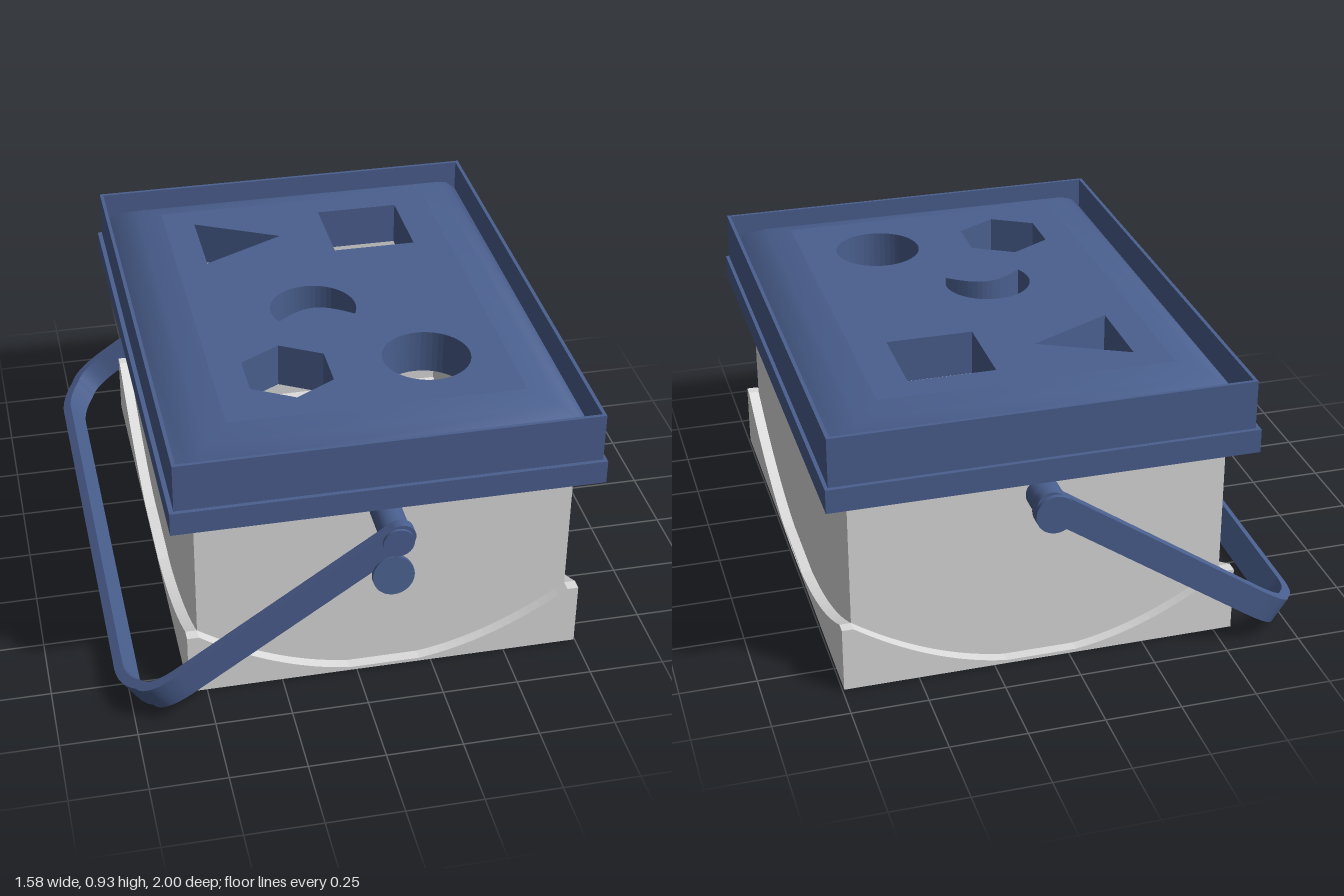
import * as THREE from 'three';

const blue = new THREE.MeshStandardMaterial({ color: 0x4a5f8e, side: THREE.DoubleSide });
blue.name = 'blue plastic';
const white = new THREE.MeshStandardMaterial({ color: 0xdcdcdc, side: THREE.DoubleSide });
white.name = 'pale plastic';

function add(parent, name, geometry, material) {
  const mesh = new THREE.Mesh(geometry, material);
  mesh.name = name;
  parent.add(mesh);
  return mesh;
}

// Closed outline from [x, z] points; shape y is -z so it can lie flat
const outline = (pts, Type = THREE.Shape) =>
  new Type(pts.map(([x, z]) => new THREE.Vector2(x, -z)));

const rect = (b, inset = 0) => [
  [b.x0 + inset, b.z1 - inset], [b.x1 - inset, b.z1 - inset],
  [b.x1 - inset, b.z0 + inset], [b.x0 + inset, b.z0 + inset]];

// Flat outline raised from y0 to y1
function slab(shape, y0, y1) {
  const g = new THREE.ExtrudeGeometry(shape, { depth: y1 - y0, bevelEnabled: false, curveSegments: 32 });
  return g.rotateX(-Math.PI / 2).translate(0, y0, 0);
}

// Rectangular wall ring
function ring(b, thickness, y0, y1) {
  const s = outline(rect(b));
  s.holes.push(outline(rect(b, thickness), THREE.Path));
  return slab(s, y0, y1);
}

const polygon = (cx, cz, r, n) => Array.from({ length: n }, (_, i) => {
  const a = (i / n) * Math.PI * 2 + Math.PI / 2;
  return [cx + r * Math.cos(a), cz + r * Math.sin(a)];
});

// Crescent: upper arc of a circle closed by a shallower arc
function crescent() {
  const pts = [];
  for (let i = 0; i <= 32; i++) {
    const a = Math.PI * 0.85 + (i / 32) * Math.PI * 1.3;
    pts.push([0.015 + 0.145 * Math.cos(a), 0.045 + 0.145 * Math.sin(a)]);
  }
  const [xr, zr] = pts[32], [xl] = pts[0];
  for (let i = 1; i < 16; i++) {
    const t = i / 16;
    pts.push([xr + (xl - xr) * t, zr - 0.065 * Math.sin(Math.PI * t)]);
  }
  return pts;
}

// Mitred slope through rectangular rings [inset, y]
function slope(b, rings) {
  const pos = [], index = [];
  rings.forEach(([inset, y]) => rect(b, inset).forEach(([x, z]) => pos.push(x, y, z)));
  for (let r = 0; r < rings.length - 1; r++) {
    for (let i = 0; i < 4; i++) {
      const a = r * 4 + i, c = r * 4 + (i + 1) % 4;
      index.push(a, c, c + 4, a, c + 4, a + 4);
    }
  }
  const g = new THREE.BufferGeometry();
  g.setAttribute('position', new THREE.Float32BufferAttribute(pos, 3));
  g.setIndex(index);
  g.computeVertexNormals();
  return g;
}

function createLid() {
  const lid = new THREE.Group();
  lid.name = 'lid';
  const wall = { x0: -0.59, x1: 0.775, z0: -0.908, z1: 0.868 };
  const rim = { x0: -0.605, x1: 0.787, z0: -0.922, z1: 0.882 };
  add(lid, 'lidWall', ring(wall, 0.012, 0.76, 0.93), blue);
  add(lid, 'lidRim', ring(rim, 0.11, 0.685, 0.765), blue);
  add(lid, 'lidSlope', slope(wall, [[0.01, 0.82], [0.06, 0.875], [0.12, 0.912], [0.2, 0.93]]), blue);

  // Raised centre with the five sorting holes
  const top = outline(rect(wall, 0.2));
  const holes = [
    [[-0.285, -0.61], [0, -0.465], [-0.285, -0.322]],
    rect({ x0: 0.17, x1: 0.455, z0: -0.61, z1: -0.323 }),
    crescent(),
    polygon(-0.147, 0.415, 0.157, 6),
    polygon(0.313, 0.415, 0.145, 48)];
  holes.forEach(h => top.holes.push(outline(h, THREE.Path)));
  add(lid, 'lidTop', slab(top, 0.78, 0.93), blue);
  return lid;
}

function createBucket() {
  const bucket = new THREE.Group();
  bucket.name = 'bucket';
  const body = { x0: -0.522, x1: 0.708, z0: -0.84, z1: 0.798 };
  const foot = { x0: -0.56, x1: 0.743, z0: -0.877, z1: 0.835 };
  add(bucket, 'bucketWalls', ring(body, 0.02, 0.012, 0.77), white);
  add(bucket, 'bucketFloor', slab(outline(rect(foot)), 0.008, 0.02), white);

  // Skirt plate, tall at the corners and dipping in an arc to the floor
  const skirt = (lo, hi, bodyLo, bodyHi) => {
    const s = new THREE.Shape();
    s.moveTo(lo, 0.008);
    s.lineTo(hi, 0.008);
    s.lineTo(hi, 0.23);
    for (let i = 0; i <= 40; i++) {
      const t = 1 - i / 20;
      s.lineTo((bodyLo + bodyHi) / 2 + t * (bodyHi - bodyLo) / 2, 0.012 + 0.218 * t * t);
    }
    s.lineTo(lo, 0.23);
    return new THREE.ExtrudeGeometry(s, { depth: 0.037, bevelEnabled: false });
  };
  const across = () => skirt(foot.x0, foot.x1, body.x0, body.x1);
  const along = () => skirt(-foot.z1, -foot.z0, -body.z1, -body.z0).rotateY(Math.PI / 2);
  add(bucket, 'frontSkirt', across().translate(0, 0, body.z1), white);
  add(bucket, 'backSkirt', across().translate(0, 0, foot.z0), white);
  add(bucket, 'leftSkirt', along().translate(body.x1, 0, 0), white);
  add(bucket, 'rightSkirt', along().translate(foot.x0, 0, 0), white);
  return bucket;
}

// Round pin along z
function pin(parent, name, x, y, r, z0, z1) {
  const g = new THREE.CylinderGeometry(r, r, z1 - z0, 32).rotateX(Math.PI / 2);
  add(parent, name, g, blue).position.set(x, y, (z0 + z1) / 2);
}

function createHandle() {
  const handle = new THREE.Group();
  handle.name = 'handle';
  const len = 1.05, front = 0.975, back = -0.985, t = 0.034;

  // U-shaped band: outer line, then the inner line back
  const s = new THREE.Shape();
  const corner = (d, r, zFrom, zTo, turn) => {
    const dir = Math.sign(zTo - zFrom);
    s.lineTo(-len + d + r, zFrom);
    s.quadraticCurveTo(-len + d + r * 0.41, zFrom, -len + d + r * 0.29, zFrom + dir * r * 0.29);
    s.quadraticCurveTo(-len + d, zFrom + dir * r * 0.59, -len + d, zFrom + dir * r);
    s.lineTo(-len + d, zTo - dir * r);
    s.quadraticCurveTo(-len + d, zTo - dir * r * 0.59, -len + d + r * 0.29, zTo - dir * r * 0.29);
    s.quadraticCurveTo(-len + d + r * 0.41, zTo, -len + d + r, zTo);
  };
  s.moveTo(0, -front);
  corner(0, 0.22, -front, -back);
  s.lineTo(0, -back);
  s.lineTo(0, -back - t);
  corner(t, 0.22 - t, -back - t, -front + t);
  s.lineTo(0, -front + t);

  const band = new THREE.Group();
  band.name = 'handleBand';
  band.position.set(0.1, 0.638, 0);
  band.rotation.z = 0.602;
  add(band, 'band', slab(s, -0.047, 0.047), blue);
  pin(band, 'frontArmEnd', 0, 0, 0.047, front - t, front);
  pin(band, 'backArmEnd', 0, 0, 0.047, back, back + t);
  handle.add(band);

  // Pivot pins and caps
  pin(handle, 'frontPin', 0.09, 0.625, 0.05, 0.78, 0.985);
  pin(handle, 'backPin', 0.085, 0.602, 0.055, -0.99, -0.82);
  pin(handle, 'backCap', 0.09, 0.612, 0.064, -1, -0.955);

  // Tilted round latch below the front pivot
  pin(handle, 'latch', 0.075, 0.505, 0.067, 0.974, 0.99);
  handle.getObjectByName('latch').rotation.x = -0.13;
  return handle;
}

export function createModel() {
  const model = new THREE.Group();
  model.name = 'shapeSorterBucket';
  model.add(createBucket(), createLid(), createHandle());
  return model;
}
